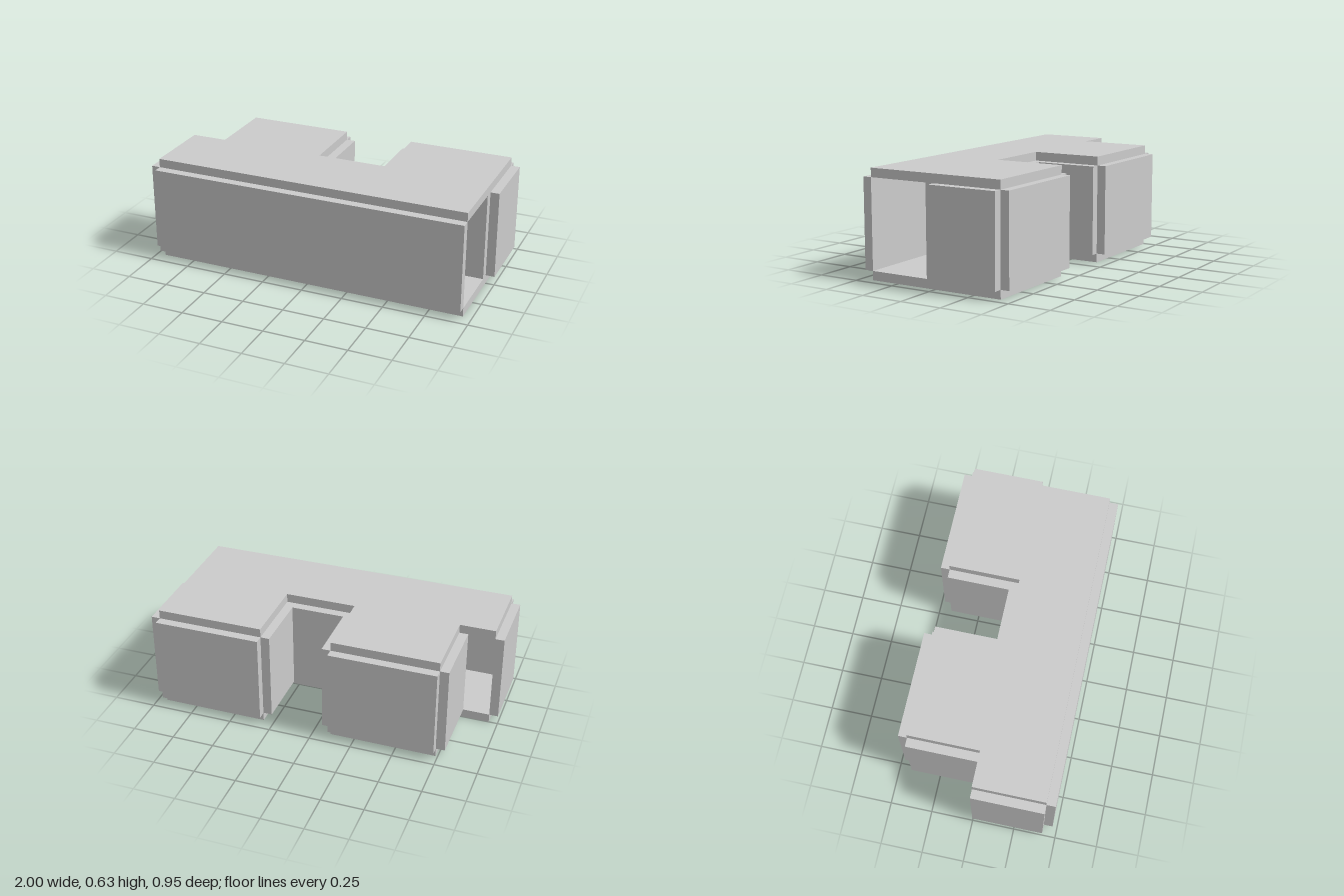
import * as THREE from 'three';

const T = 0.0526;          // panel thickness
const U = 0.2105;          // plan module
const H = 0.6316;          // total height
const X = [-4.5 * U, -3.5 * U, -0.5 * U, 1.5 * U, 4.5 * U]; // plan lines
const D = 2 * U;           // room depth

export function createModel() {
  const group = new THREE.Group();
  const material = new THREE.MeshStandardMaterial({ color: 0xcccccc, flatShading: true });

  // Wall panel given by its plan rectangle, standing between the two slabs
  const wall = (name, x0, x1, z0, z1) => {
    const mesh = new THREE.Mesh(new THREE.BoxGeometry(x1 - x0, H - 2 * T, z1 - z0), material);
    mesh.name = name;
    mesh.position.set((x0 + x1) / 2, H / 2, (z0 + z1) / 2);
    group.add(mesh);
  };

  // Floor and roof slabs share one plan: a long front hall with two back rooms
  const plan = new THREE.Shape([
    [X[0], D], [X[4], D], [X[4], -D], [X[3], -D], [X[3], 0],
    [X[2], 0], [X[2], -D], [X[1], -D], [X[1], 0], [X[0], 0],
  ].map(([x, z]) => new THREE.Vector2(x, z)));
  for (const [name, top] of [['floorSlab', T], ['roofSlab', H]]) {
    const geometry = new THREE.ExtrudeGeometry(plan, { depth: T, bevelEnabled: false });
    geometry.rotateX(Math.PI / 2);
    const slab = new THREE.Mesh(geometry, material);
    slab.name = name;
    slab.position.y = top;
    group.add(slab);
  }

  // Front hall: open at its left end and at the back corner beside the right room
  wall('hallFrontWall', X[0], X[4], D, D + T);
  wall('hallRightWall', X[0] - T, X[0], 0, D);
  wall('recessWall', X[2], X[3], -T, 0);

  // Back rooms: four panels set outside each room's plan
  for (const [side, x0, x1] of [['right', X[1], X[2]], ['left', X[3], X[4]]]) {
    wall(side + 'RoomBackWall', x0, x1, -D - T, -D);
    wall(side + 'RoomPartition', x0, x1, 0, T);
    wall(side + 'RoomRightWall', x0 - T, x0, -D, 0);
    wall(side + 'RoomLeftWall', x1, x1 + T, -D, 0);
  }

  return group;
}
